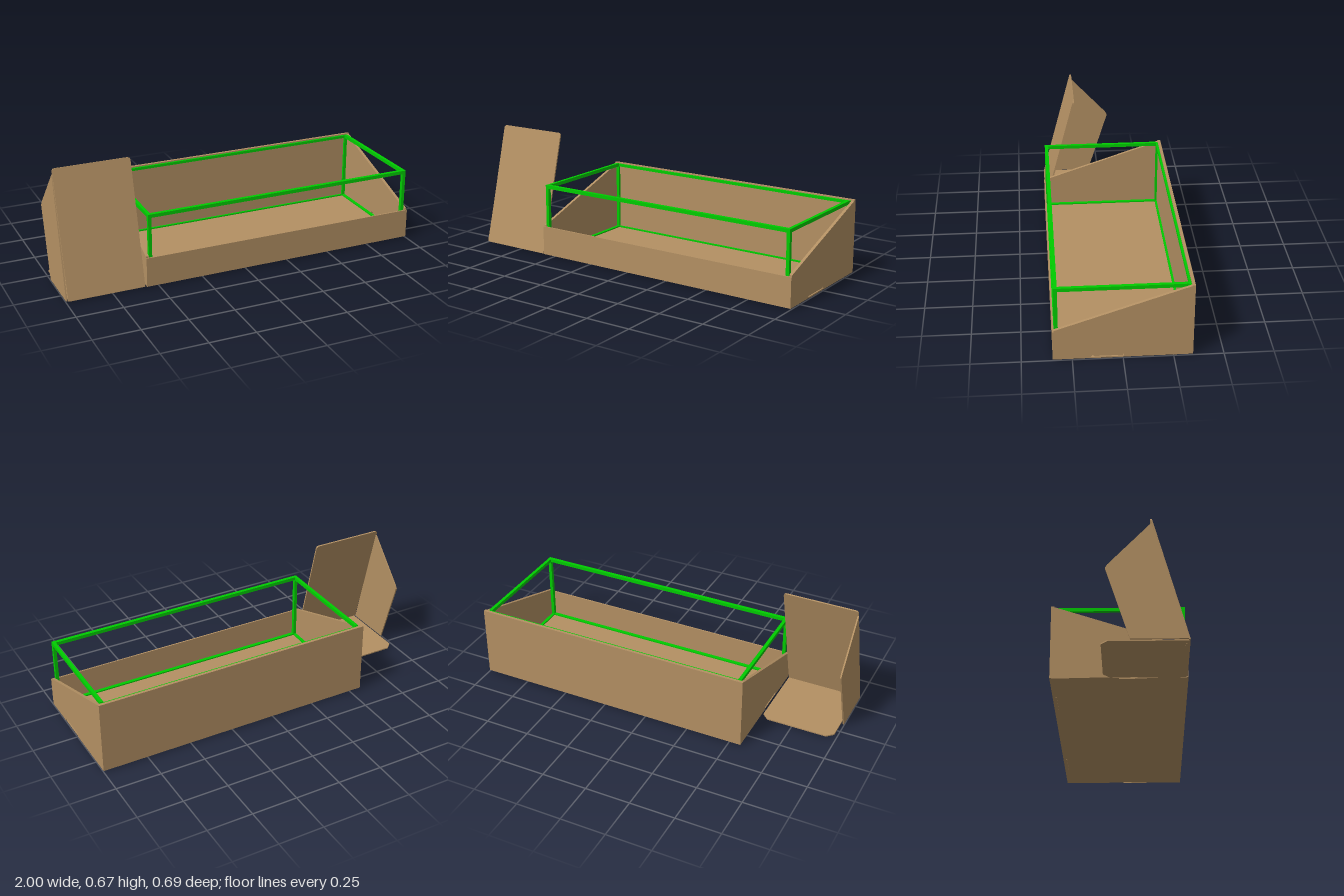
import * as THREE from 'three';

export function createModel() {
  const model = new THREE.Group();
  model.name = 'displayTray';
  const cardboard = new THREE.MeshStandardMaterial({ color: 0xb39063 });
  cardboard.name = 'cardboard';
  const green = new THREE.MeshStandardMaterial({ color: 0x00cc00 });
  green.name = 'green';

  // Box given by its lower and upper corners
  function box(name, mat, [x0, y0, z0], [x1, y1, z1], parent) {
    const mesh = new THREE.Mesh(new THREE.BoxGeometry(x1 - x0, y1 - y0, z1 - z0), mat);
    mesh.position.set((x0 + x1) / 2, (y0 + y1) / 2, (z0 + z1) / 2);
    mesh.name = name;
    parent.add(mesh);
  }
  function sheet(name, shape, depth, parent) {
    const geo = new THREE.ExtrudeGeometry(shape, { depth, bevelEnabled: false, curveSegments: 6 });
    const mesh = new THREE.Mesh(geo, cardboard);
    mesh.name = name;
    parent.add(mesh);
    return mesh;
  }
  const outline = (pts) => new THREE.Shape(pts.map(([a, b]) => new THREE.Vector2(a, b)));
  // Upright sheet drawn in (z, y), running from xMax towards -x
  function sideSheet(name, pts, xMax, depth, parent) {
    const mesh = sheet(name, outline(pts), depth, parent);
    mesh.rotation.y = -Math.PI / 2;
    mesh.position.x = xMax;
    return mesh;
  }

  // Tray: floor, low front, tall back
  const tray = new THREE.Group();
  tray.name = 'tray';
  model.add(tray);
  const L = -0.566, R = 1, wall = 0.016;
  box('floor', cardboard, [L + 0.002, 0.005, -0.338], [R - 0.002, 0.011, 0.338], tray);
  box('frontWall', cardboard, [L, 0.006, 0.338], [R, 0.168, 0.346], tray);
  box('backWall', cardboard, [L, 0.006, -0.346], [R, 0.408, -0.33], tray);

  // Sloping side walls with a notch at the foot
  const sidePts = [
    [0.338, 0.006], [0.338, 0.176], [-0.334, 0.405], [-0.334, 0.006],
    [-0.008, 0.006], [0, 0.024], [0.15, 0.024], [0.165, 0.006],
  ];
  sideSheet('rightWall', sidePts, L + wall, wall, tray);
  sideSheet('leftWall', sidePts, R, wall, tray);

  // Locking tabs in the notches, with a narrow gap, and through the floor
  for (const x of [L + 0.005, R - 0.011]) {
    box('sideTab', cardboard, [x, 0.001, 0], [x + 0.006, 0.0105, 0.14], tray);
    box('sideFlap', cardboard, [x, 0.0135, 0], [x + 0.006, 0.024, 0.145], tray);
  }
  for (const x of [-0.24, 0.67]) {
    box('backTab', cardboard, [x - 0.095, 0, -0.33], [x + 0.095, 0.01, -0.324], tray);
  }

  // Green frame: twelve bars of a box, slimmer at the floor and the back
  const frame = new THREE.Group();
  frame.name = 'greenFrame';
  model.add(frame);
  const X = [[-0.549, -0.531], [0.963, 0.981]];
  const Y = [[0.008, 0.018], [0.387, 0.406]];
  const Z = [[-0.329, -0.317], [0.317, 0.337]];
  for (const [y0, y1] of Y) {
    for (const [z0, z1] of Z) {
      // the bar along the tall back sits just below the wall's edge
      const top = z0 < 0 ? Math.min(y1, 0.402) : y1;
      box('longBar', green, [X[0][0], y0, z0], [X[1][1], top, z1], frame);
    }
    for (const [x0, x1] of X) {
      box('crossBar', green, [x0, y0, Z[0][1]], [x1, y1, Z[1][0]], frame);
    }
  }
  for (const [x0, x1] of X) {
    for (const [z0, z1] of Z) box('post', green, [x0, Y[0][1], z0], [x1, Y[1][0], z1], frame);
  }

  // Sign stand beside the tray
  const stand = new THREE.Group();
  stand.name = 'signStand';
  model.add(stand);
  const sx0 = -0.99, sx1 = -0.575;

  // Leaning front panel with rounded top corners
  const h = 0.682, r = 0.018;
  const panelShape = new THREE.Shape();
  panelShape.moveTo(sx0, 0);
  panelShape.lineTo(sx1, 0);
  panelShape.lineTo(sx1, h - r);
  panelShape.quadraticCurveTo(sx1, h, sx1 - r, h);
  panelShape.lineTo(sx0 + r, h);
  panelShape.quadraticCurveTo(sx0, h, sx0, h - r);
  const panel = sheet('signPanel', panelShape, 0.008, stand);
  panel.rotation.x = -0.259;
  panel.position.set(0, 0.006, 0.334);

  // Base plate with clipped rear corners, drawn in (x, -z)
  const base = sheet('standBase', outline([
    [sx0 + 0.008, -0.335], [sx1, -0.335], [sx1, 0.045], [sx1 - 0.035, 0.078],
    [sx0 + 0.043, 0.078], [sx0 + 0.008, 0.045],
  ]), 0.007, stand);
  base.rotation.x = -Math.PI / 2;
  base.position.y = 0.003;

  // Side brace holding the panel upright, leaning slightly inwards
  const brace = sideSheet('standBrace', [
    [0.334, 0.006], [0.166, 0.637], [-0.048, 0.405], [-0.059, 0.386], [0.06, 0.006],
  ], sx0 - 0.002, 0.008, stand);
  brace.rotation.order = 'ZYX';
  brace.rotation.z = -0.012;
  box('standTab', cardboard, [-0.95, 0, 0.32], [-0.9, 0.006, 0.327], stand);

  return model;
}
